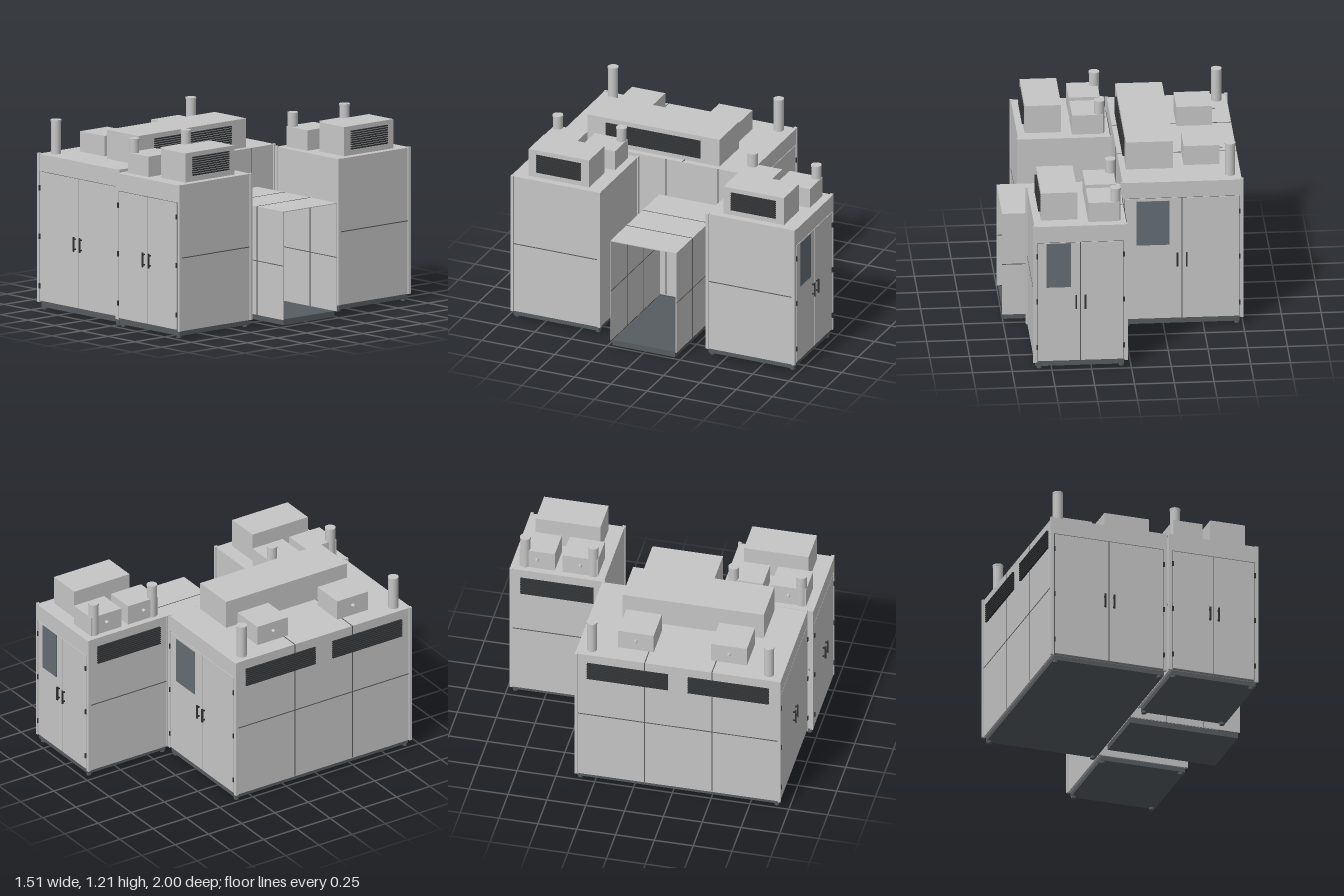
import * as THREE from 'three';

const mat = (name, color) => Object.assign(new THREE.MeshStandardMaterial({ color }), { name });
const M = {
  panel: mat('panelGrey', 0xc6c6c6),
  base: mat('baseDarkGrey', 0x565c60),
  seam: mat('seamGrey', 0x5a5a5a),
  dark: mat('louvreBlack', 0x303234),
  glass: mat('windowGlass', 0x646e75),
};

// Box given by its minimum and maximum corners
function box(parent, name, m, x0, x1, y0, y1, z0, z1) {
  const mesh = new THREE.Mesh(new THREE.BoxGeometry(x1 - x0, y1 - y0, z1 - z0), m);
  mesh.position.set((x0 + x1) / 2, (y0 + y1) / 2, (z0 + z1) / 2);
  mesh.name = name;
  parent.add(mesh);
  return mesh;
}

function cyl(parent, name, m, r, h, x, y, z, alongX = false) {
  const mesh = new THREE.Mesh(new THREE.CylinderGeometry(r, r, h, 24), m);
  mesh.position.set(x, y, z);
  if (alongX) mesh.rotation.z = Math.PI / 2;
  mesh.name = name;
  parent.add(mesh);
}

function group(parent, name) {
  const g = new THREE.Group();
  g.name = name;
  parent.add(g);
  return g;
}

// Horizontal slats standing out from a wall at x, towards dir
function louvre(parent, x, dir, y0, y1, z0, z1) {
  const g = group(parent, 'louvre');
  const n = 9, step = (y1 - y0) / n;
  for (let i = 0; i < n; i++) {
    const y = y0 + i * step;
    box(g, 'slat', M.dark, Math.min(x, x + dir * 0.013), Math.max(x, x + dir * 0.013),
      y, y + 0.0075, z0, z1);
  }
}

// Double doors with header, built facing +z around x = 0
function doorFront(parent, xc, z, back, width, doorTop, top, hasWindow) {
  const g = group(parent, back ? 'backDoors' : 'frontDoors');
  g.position.set(xc, 0, z);
  if (back) g.rotation.y = Math.PI;
  const w = width / 2;
  box(g, 'doorGap', M.seam, -w, w, 0.045, doorTop + 0.004, 0, 0.002);
  box(g, 'header', M.panel, -w - 0.015, w + 0.015, doorTop + 0.004, top, 0, 0.006);
  for (const s of [-1, 1]) {
    const a = s * 0.003, b = s * (w - 0.004);
    box(g, 'door', M.panel, Math.min(a, b), Math.max(a, b), 0.055, doorTop, 0, 0.006);
    // Bar handle on two standoffs
    const hx = s * 0.029;
    box(g, 'handleBar', M.dark, hx - 0.005, hx + 0.005, 0.415, 0.508, 0.019, 0.028);
    for (const y of [0.425, 0.49])
      box(g, 'handleMount', M.dark, hx - 0.004, hx + 0.004, y, y + 0.008, 0.005, 0.02);
    for (const y of [0.15, 0.465, 0.775])
      box(g, 'hinge', M.dark, s * w - 0.005, s * w + 0.005, y - 0.016, y + 0.016, 0.004, 0.013);
  }
  if (hasWindow)
    box(g, 'doorWindow', M.glass, -w * 0.79, -w * 0.22, 0.56, 0.86, 0.005, 0.011);
}

// Corner posts, base frame and feet shared by all cabins
function frame(g, x0, x1, z0, z1, top) {
  box(g, 'baseFrame', M.base, x0 + 0.025, x1 - 0.015, 0.015, 0.045, z0 + 0.015, z1 - 0.015);
  for (const x of [x0, x1 - 0.02])
    for (const z of [z0, z1 - 0.02]) {
      box(g, 'cornerPost', M.panel, x, x + 0.02, 0.045, top + 0.004, z, z + 0.02);
      cyl(g, 'foot', M.base, 0.016, 0.018, x + (x === x0 ? 0.04 : -0.02), 0.009, z + (z === z0 ? 0.03 : -0.01));
    }
}

// Small roof box with a side nozzle
function blower(g, x0, x1, y0, y1, z0, z1) {
  const zc = (z0 + z1) / 2;
  box(g, 'blowerBox', M.panel, x0, x1, y0, y1, z0, z1);
  cyl(g, 'blowerNozzle', M.panel, 0.011, 0.028, x0 - 0.012, (y0 + y1) / 2 + 0.005, zc, true);
}

function chimney(g, x, y0, y1, z) {
  cyl(g, 'chimney', M.panel, 0.032, y1 - y0, x, (y0 + y1) / 2, z);
  cyl(g, 'chimneyRim', M.panel, 0.034, 0.012, x, y1 - 0.006, z);
}

function mainCabin(root) {
  const g = group(root, 'mainCabin');
  const x0 = -0.742, x1 = 0.008, z0 = -0.372, z1 = 0.938, T = 0.99, t = 0.012;
  frame(g, -0.752, 0.018, -0.38, 0.946, T);
  box(g, 'floor', M.panel, x0, x1, 0.045, 0.055, z0, z1);
  box(g, 'roof', M.panel, x0, x1, T - t, T, z0, z1);
  box(g, 'outerWall', M.panel, x0, x0 + t, 0.05, T - t, z0, z1);
  for (const z of [z0, z1 - t])
    box(g, 'endWall', M.panel, x0 + t, x1 - t, 0.05, T - t, z, z + t);
  // Inner wall with a feed slot towards the tunnel
  box(g, 'innerWall', M.panel, x1 - t, x1, 0.05, T - t, z0, -0.175);
  box(g, 'innerWall', M.panel, x1 - t, x1, 0.05, T - t, 0.18, z1);
  box(g, 'slotLowerPanel', M.panel, x1 - t, x1, 0.05, 0.45, -0.175, 0.18);
  box(g, 'slotUpperPanel', M.panel, x1 - t, x1, 0.535, T - t, -0.175, 0.18);
  // Panel seams
  const e = 0.0015, s = 0.003;
  for (const z of [0.07, 0.503]) {
    box(g, 'roofSeam', M.seam, x0, x1, T, T + e, z - s, z + s);
    box(g, 'wallSeam', M.seam, x0 - e, x0, 0.05, T, z - s, z + s);
  }
  box(g, 'insideSeam', M.seam, x0 + t, x0 + t + e, 0.05, T - t, 0.07 - s, 0.07 + s);
  box(g, 'insideSeam', M.seam, x0 + t, x0 + t + e, 0.517, 0.523, z0 + t, z1 - t);
  box(g, 'wallSeam', M.seam, x0 - e, x0, 0.517, 0.523, z0, z1);
  for (const z of [-0.177, 0.18])
    box(g, 'wallSeam', M.seam, x1, x1 + e, 0.05, T, z - s, z + s);
  box(g, 'wallSeam', M.seam, x1, x1 + e, 0.517, 0.523, z0, -0.18);
  box(g, 'wallSeam', M.seam, x1, x1 + e, 0.517, 0.523, 0.18, z1);
  doorFront(g, -0.365, z1, false, 0.725, 0.878, T, false);
  doorFront(g, -0.365, z0, true, 0.725, 0.878, T, true);
  louvre(g, x0, -1, 0.81, 0.935, -0.30, 0.22);
  louvre(g, x0, -1, 0.81, 0.935, 0.35, 0.87);
  // Roof equipment
  box(g, 'roofUnit', M.panel, -0.325, -0.03, T, 1.175, -0.17, 0.74);
  louvre(g, -0.03, 1, 1.025, 1.15, -0.04, 0.61);
  blower(g, -0.62, -0.395, T, 1.12, -0.13, 0.10);
  blower(g, -0.62, -0.395, T, 1.12, 0.47, 0.70);
  chimney(g, -0.675, T, 1.207, -0.285);
  chimney(g, -0.675, T, 1.207, 0.855);
}

function sideCabin(root, z0, z1, back) {
  const g = group(root, back ? 'backSideCabin' : 'frontSideCabin');
  const x0 = 0.028, x1 = 0.608, T = 0.977, zc = (z0 + z1) / 2, e = 0.0015;
  frame(g, 0.02, 0.617, z0 - 0.006, z1 + 0.006, T);
  box(g, 'cabinBody', M.panel, x0, x1, 0.045, T, z0, z1);
  for (const [a, b] of [[x0 - e, x0], [x1, x1 + e]])
    box(g, 'wallSeam', M.seam, a, b, 0.508, 0.514, z0, z1);
  doorFront(g, 0.318, back ? z0 : z1, back, 0.545, 0.863, T, back);
  louvre(g, x0, -1, 0.80, 0.925, zc - 0.235, zc + 0.235);
  // Roof equipment
  box(g, 'roofUnit', M.panel, 0.33, 0.56, T, 1.163, zc - 0.208, zc + 0.208);
  louvre(g, 0.56, 1, 1.015, 1.14, zc - 0.153, zc + 0.153);
  for (const s of [-1, 1]) {
    const a = zc + s * 0.025, b = zc + s * 0.252;
    blower(g, 0.07, 0.265, T, 1.107, Math.min(a, b), Math.max(a, b));
    chimney(g, 0.092, T, 1.197, zc + s * 0.219);
  }
}

// Open-ended feed tunnel with thin walls
function tunnel(root) {
  const g = group(root, 'feedTunnel');
  const x0 = 0.01, x1 = 0.755, zw = 0.227, T = 0.737, t = 0.005, e = 0.0015, s = 0.0025;
  box(g, 'tunnelBase', M.base, 0.03, 0.745, 0.01, 0.047, -0.215, 0.215);
  box(g, 'tunnelRoof', M.panel, x0, x1, T - t, T, -zw, zw);
  for (const d of [-1, 1]) {
    const inner = d * (zw - t), outer = d * zw;
    box(g, 'tunnelWall', M.panel, x0, x1, 0.045, T - t, Math.min(inner, outer), Math.max(inner, outer));
    for (const z of [outer + d * e / 2, inner - d * e / 2]) {
      box(g, 'tunnelSeam', M.seam, x0, x1, 0.39 - s, 0.39 + s, z - e / 2, z + e / 2);
      for (const x of [0.265, 0.51])
        box(g, 'tunnelSeam', M.seam, x - s, x + s, 0.045, T - t, z - e / 2, z + e / 2);
    }
  }
  for (const x of [0.265, 0.51])
    box(g, 'tunnelRoofSeam', M.seam, x - s, x + s, T, T + e, -zw, zw);
}

export function createModel() {
  const root = new THREE.Group();
  root.name = 'machineEnclosure';
  mainCabin(root);
  sideCabin(root, 0.366, 0.972, false);
  sideCabin(root, -0.972, -0.372, true);
  tunnel(root);
  return root;
}
